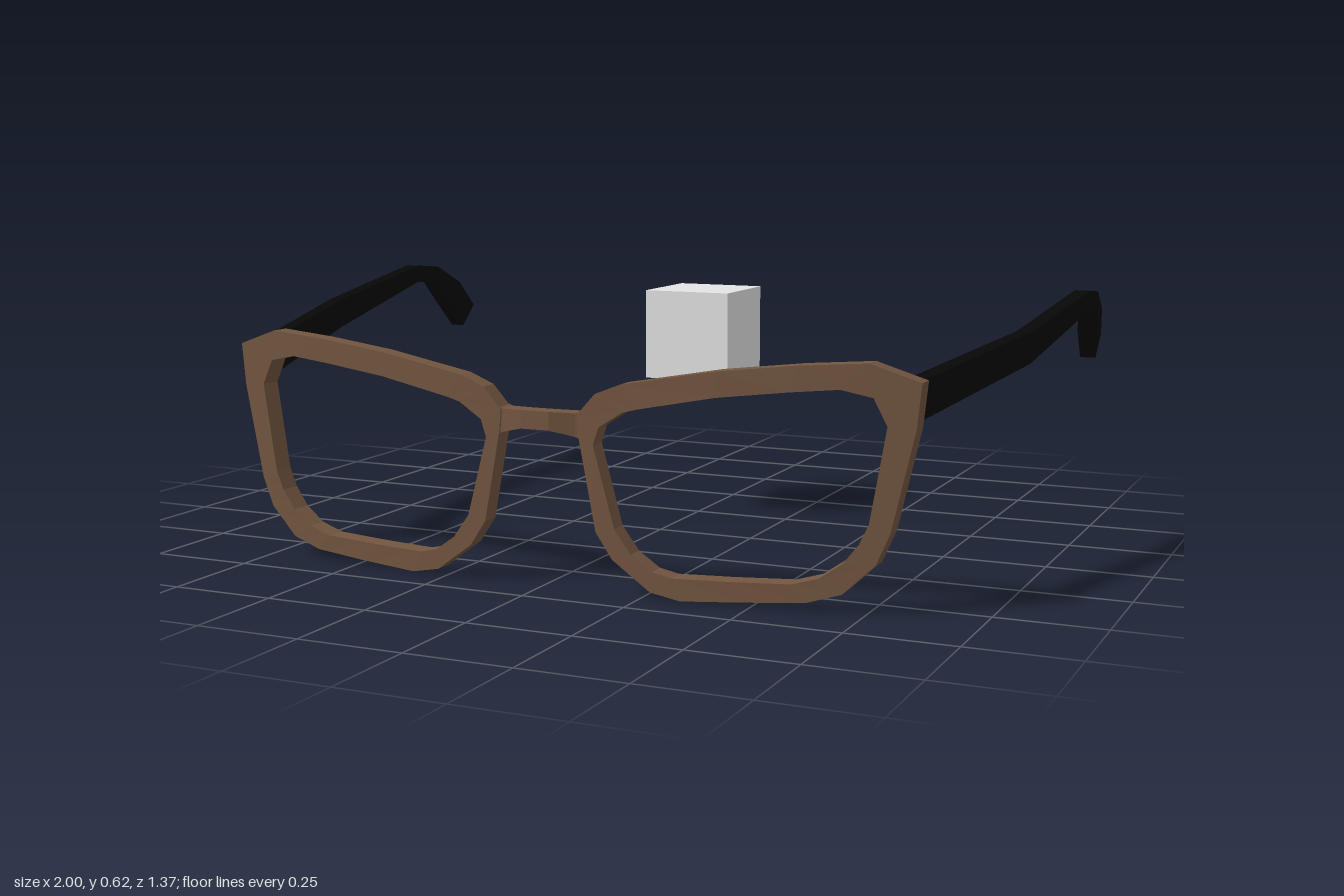
import * as THREE from 'three';

const mat = (name, color) => {
  const m = new THREE.MeshStandardMaterial({ color, flatShading: true });
  m.name = name;
  return m;
};

// Stations around one rim: outer x, outer y, inner x, inner y
const RIM = [
  [0.1, 0.35, 0.135, 0.335], [0.095, 0.4, 0.148, 0.375], [0.14, 0.45, 0.205, 0.412], [0.2, 0.474, 0.24, 0.421],
  [0.42, 0.513, 0.42, 0.456], [0.6, 0.533, 0.58, 0.475], [0.75, 0.543, 0.69, 0.485], [0.86, 0.505, 0.76, 0.47],
  [0.85, 0.405, 0.79, 0.41], [0.8, 0.18, 0.755, 0.2], [0.786, 0.147, 0.735, 0.155], [0.77, 0.11, 0.7, 0.11],
  [0.7, 0.043, 0.65, 0.075], [0.625, 0.02, 0.59, 0.058], [0.48, 0.009, 0.45, 0.053], [0.34, 0, 0.32, 0.05],
  [0.27, 0.014, 0.275, 0.06], [0.18, 0.08, 0.225, 0.095], [0.14, 0.14, 0.185, 0.15],
];

// Temple stations: inner x, outer x, top z, top y, bottom z, bottom y
const TEMPLE = [
  [0.81, 0.85, 0.533, 0.505, 0.533, 0.42],
  [0.925, 0.96, 0.05, 0.562, 0.05, 0.488],
  [0.96, 1.0, -0.41, 0.62, -0.4, 0.572],
  [0.955, 0.998, -0.51, 0.61, -0.495, 0.567],
  [0.94, 0.99, -0.61, 0.557, -0.55, 0.505],
  [0.935, 0.975, -0.684, 0.482, -0.62, 0.425],
];

// Bridge stations: x, top y, bottom y, front z
const BRIDGE = [
  [-0.115, 0.41, 0.34, 0.655], [-0.09, 0.403, 0.35, 0.66], [-0.035, 0.406, 0.364, 0.682],
  [0.035, 0.406, 0.364, 0.682], [0.09, 0.403, 0.35, 0.66], [0.115, 0.41, 0.34, 0.655],
];

// Joins four-cornered sections into a ring, or into a bar with end caps; side -1 mirrors it in x
function loft(sections, side, ring) {
  const n = sections.length, pos = [], index = [];
  for (const [x, y, z] of sections.flat()) pos.push(side * x, y, z);
  const quad = (a, b, c, d) => index.push(...(side > 0 ? [a, b, c, a, c, d] : [a, c, b, a, d, c]));
  for (let s = 0; s < (ring ? n : n - 1); s++) {
    const a = s * 4, b = ((s + 1) % n) * 4;
    for (let k = 0; k < 4; k++) {
      const m = (k + 1) % 4;
      quad(a + k, a + m, b + m, b + k);
    }
  }
  if (!ring) {
    const e = (n - 1) * 4;
    quad(3, 2, 1, 0);
    quad(e, e + 1, e + 2, e + 3);
  }
  const geo = new THREE.BufferGeometry();
  geo.setAttribute('position', new THREE.Float32BufferAttribute(pos, 3));
  geo.setIndex(index);
  const flat = geo.toNonIndexed();
  flat.computeVertexNormals();
  return flat;
}

// The rims curve back towards the temples and narrow slightly behind
const rimZ = (x) => 0.665 - 0.112 * x * x;
const rimSections = RIM.map(([ox, oy, ix, iy]) => [
  [ox, oy, rimZ(ox) - 0.048], [ox, oy, rimZ(ox)], [ix, iy, rimZ(ix)], [ix * 0.992, iy, rimZ(ix) - 0.048],
]);
const templeSections = TEMPLE.map(([xi, xo, tz, ty, bz, by]) => [
  [xi, ty, tz], [xo, ty, tz], [xo, by, bz], [xi, by, bz],
]);
const bridgeSections = BRIDGE.map(([x, top, bottom, z]) => [
  [x, top, z - 0.046], [x, top, z], [x, bottom, z], [x, bottom, z - 0.046],
]);

export function createModel() {
  const group = new THREE.Group();
  const brown = mat('brown frame', 0x735640);
  const black = mat('black temple', 0x070708);
  const grey = mat('light grey', 0xe4e4e4);
  const add = (name, geo, material) => {
    const mesh = new THREE.Mesh(geo, material);
    mesh.name = name;
    group.add(mesh);
    return mesh;
  };

  // Rims and temples, mirrored
  for (const [side, label] of [[1, 'left'], [-1, 'right']]) {
    add(label + 'Rim', loft(rimSections, side, true), brown);
    add(label + 'Temple', loft(templeSections, side, false), black);
  }

  // Nose bridge, bulging slightly forward
  add('bridge', loft(bridgeSections, 1, false), brown);

  // Small cube floating between the temples
  add('cube', new THREE.BoxGeometry(0.232, 0.232, 0.232), grey).position.set(0, 0.484, -0.282);

  return group;
}
